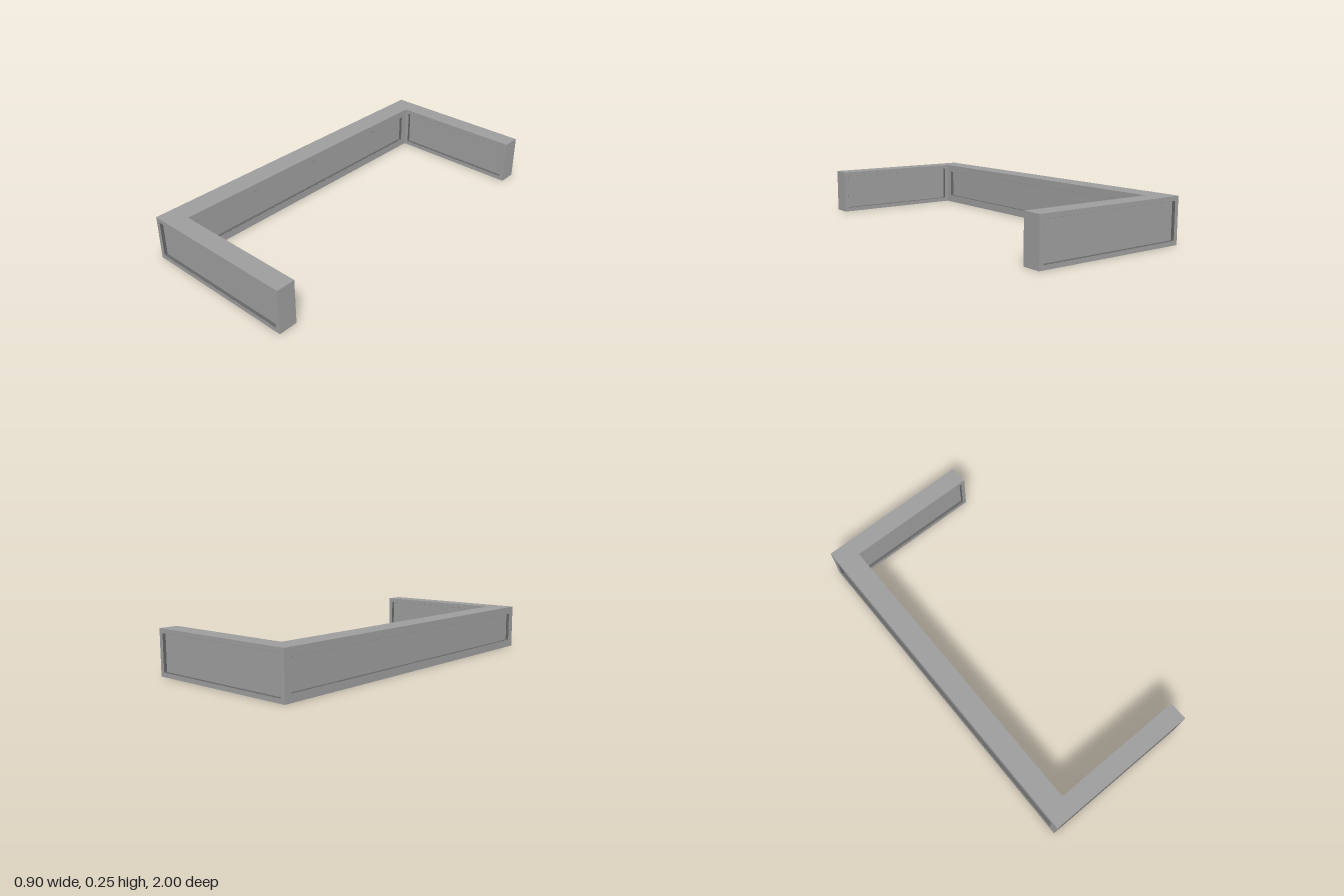
import * as THREE from 'three';

const H = 0.25;            // height of all walls
const D = 0.018;           // depth of the recessed panels
const X = 0.45, Z = 1;     // outer half sizes
const XI = -0.325, ZI = 0.894; // inner faces of the long wall and of the arms

const wallMaterial = new THREE.MeshStandardMaterial({ color: 0x9d9d9d });
const rimMaterial = new THREE.MeshStandardMaterial({ color: 0x666666 });

// Rectangle with slightly rounded corners, used as the panel opening
function opening(w, h, r = 0.004) {
  const p = new THREE.Shape();
  const x = w / 2, y0 = (H - h) / 2, y1 = (H + h) / 2;
  p.absarc(x - r, y1 - r, r, 0, Math.PI / 2);
  p.absarc(-x + r, y1 - r, r, Math.PI / 2, Math.PI);
  p.absarc(-x + r, y0 + r, r, Math.PI, Math.PI * 1.5);
  p.absarc(x - r, y0 + r, r, Math.PI * 1.5, Math.PI * 2);
  p.closePath();
  return p;
}

// Mesh of a flat shape extruded backwards from z = 0
function plate(name, shape, depth, material) {
  const g = new THREE.ExtrudeGeometry(shape, { depth, bevelEnabled: false, curveSegments: 4 });
  g.translate(0, 0, -D);
  const m = new THREE.Mesh(g, material);
  m.name = name;
  return m;
}

// Raised border around a recessed panel; its outer face lies at (x, z)
function panelFrame(name, w, holeW, holeH, x, z, turn) {
  const border = new THREE.Shape();
  border.moveTo(-w / 2, 0).lineTo(w / 2, 0).lineTo(w / 2, H).lineTo(-w / 2, H).closePath();
  border.holes.push(opening(holeW, holeH));

  // Thin darker lining on the sides of the recess
  const rim = opening(holeW, holeH);
  rim.holes.push(opening(holeW - 0.001, holeH - 0.001));

  const frame = new THREE.Group();
  frame.name = name;
  frame.add(plate('border', border, D, wallMaterial));
  frame.add(plate('recessRim', rim, D - 0.0005, rimMaterial));
  frame.position.set(x, 0, z);
  frame.rotation.y = turn;
  return frame;
}

export function createModel() {
  const group = new THREE.Group();
  group.name = 'panelledWall';

  // U-shaped core, set back behind the frames
  const xo = -X + D, xi = XI - D, zo = Z - D, zi = ZI + D;
  const plan = new THREE.Shape([
    [xo, -zo], [X, -zo], [X, -zi], [xi, -zi], [xi, zi], [X, zi], [X, zo], [xo, zo],
  ].map(([x, y]) => new THREE.Vector2(x, y)));
  const coreGeometry = new THREE.ExtrudeGeometry(plan, { depth: H, bevelEnabled: false });
  coreGeometry.rotateX(-Math.PI / 2);
  const core = new THREE.Mesh(coreGeometry, wallMaterial);
  core.name = 'wallCore';
  group.add(core);

  // Frames on both faces of the two arms
  const innerW = X - XI, innerX = (X + XI) / 2;
  for (const [side, s] of [['front', 1], ['back', -1]]) {
    const out = s > 0 ? 0 : Math.PI;
    group.add(panelFrame(side + 'ArmOuterFrame', 2 * X, 0.853, 0.203, 0, s * Z, out));
    group.add(panelFrame(side + 'ArmInnerFrame', innerW, innerW - 0.047, 0.203, innerX, s * ZI, Math.PI - out));
  }

  // Frames on both faces of the long wall
  group.add(panelFrame('longWallOuterFrame', 2 * zo, 1.915, 0.165, -X, 0, -Math.PI / 2));
  group.add(panelFrame('longWallInnerFrame', 2 * zi, 1.706, 0.165, XI, 0, Math.PI / 2));

  return group;
}
